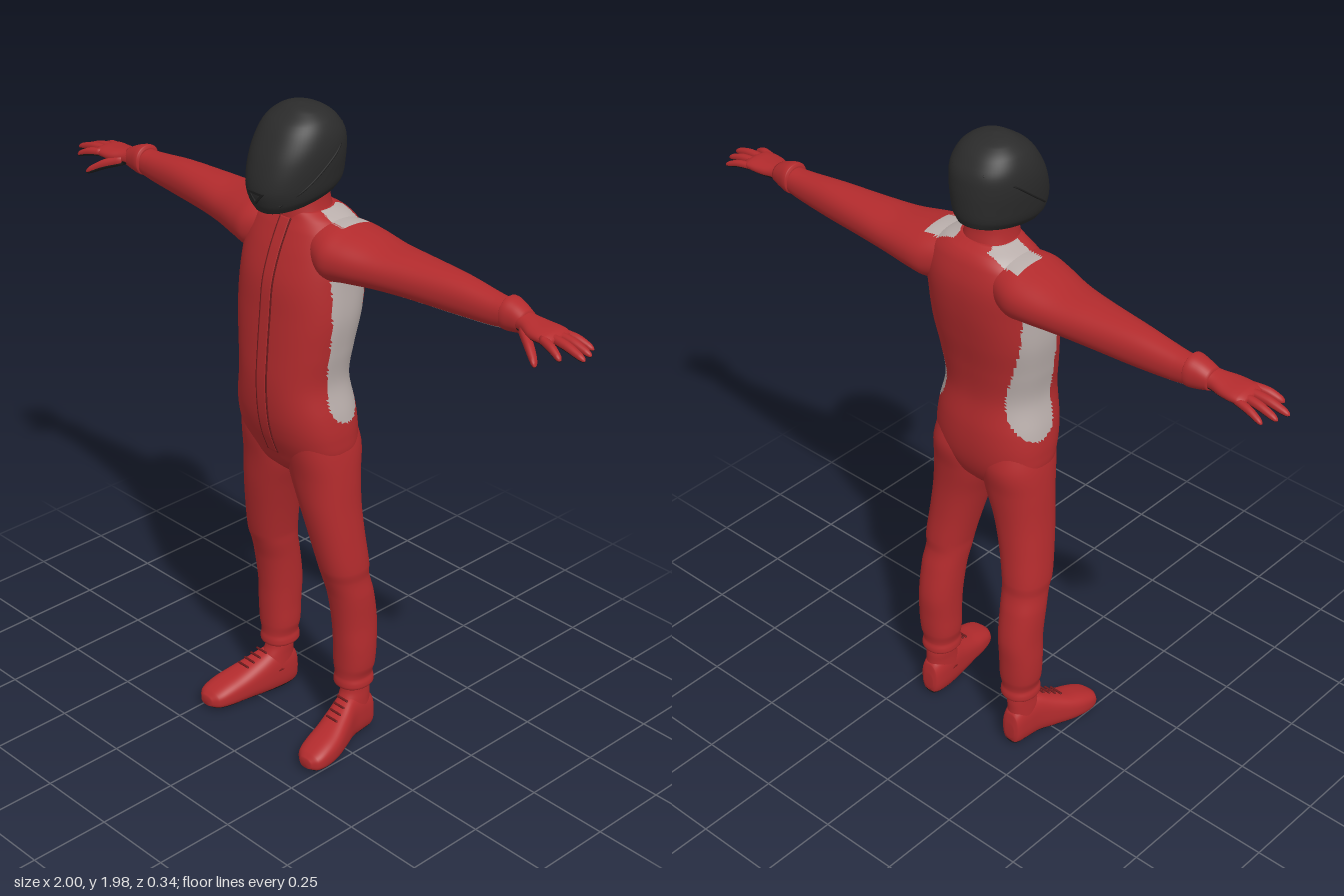
import * as THREE from 'three';

const mat = (name, color) => {
  const m = new THREE.MeshStandardMaterial({ color });
  m.name = name;
  return m;
};

// Smooth interpolation through stations [t, a0, a1, b0, b1]
function section(st, i, f) {
  const p = st[i], q = st[i + 1], h = q[0] - p[0];
  const slope = (j, k) => {
    const l = st[Math.max(j - 1, 0)], r = st[Math.min(j + 1, st.length - 1)];
    return (r[k] - l[k]) / (r[0] - l[0]);
  };
  const f2 = f * f, f3 = f2 * f;
  return p.map((v, k) => k === 0 ? v + h * f
    : v * (2 * f3 - 3 * f2 + 1) + q[k] * (3 * f2 - 2 * f3)
    + h * (slope(i, k) * (f3 - 2 * f2 + f) + slope(i + 1, k) * (f3 - f2)));
}

function sectionAt(st, t) {
  let i = 0;
  while (i < st.length - 2 && st[i + 1][0] < t) i++;
  return section(st, i, (t - st[i][0]) / (st[i + 1][0] - st[i][0]));
}

// Closed skin over superellipse sections along an axis; rule picks the material of each face
function loft(name, axis, stations, mats, { side = 1, seg = 40, sub = 5, power = 2.2, rule = () => 0, warp } = {}) {
  const st = [...stations].sort((a, b) => a[0] - b[0]);
  const place = (a, b, t) => {
    const v = axis === 'y' ? [a, t, b] : axis === 'x' ? [t, b, a] : [a, b, t];
    if (warp) warp(v);
    v[0] *= side;
    return v;
  };
  const rings = [];
  for (let i = 0; i < st.length - 1; i++)
    for (let k = 0; k < sub; k++) rings.push(section(st, i, k / sub));
  rings.push(st[st.length - 1]);
  const pos = [], faces = mats.map(() => []);
  const curve = c => Math.sign(c) * Math.abs(c) ** (2 / power);
  for (const [t, a0, a1, b0, b1] of rings)
    for (let j = 0; j < seg; j++) {
      const g = j / seg * Math.PI * 2;
      pos.push(...place((a0 + a1) / 2 + (a1 - a0) / 2 * curve(Math.cos(g)),
        (b0 + b1) / 2 + (b1 - b0) / 2 * curve(Math.sin(g)), t));
    }
  const flip = (axis !== 'z') !== (side < 0);
  const tri = (a, b, c, s) => {
    const p = [0, 1, 2].map(k => (pos[a * 3 + k] + pos[b * 3 + k] + pos[c * 3 + k]) / 3);
    p[0] *= side;
    faces[rule(p, s)].push(a, ...(flip ? [c, b] : [b, c]));
  };
  const n = rings.length;
  for (let i = 0; i < n - 1; i++)
    for (let j = 0; j < seg; j++) {
      const k = (j + 1) % seg, a = i * seg + j, b = i * seg + k, s = Math.sin((j + 0.5) / seg * Math.PI * 2);
      tri(a, b, b + seg, s);
      tri(a, b + seg, a + seg, s);
    }
  // End caps
  for (const i of [0, n - 1]) {
    const [t, a0, a1, b0, b1] = rings[i], c = pos.length / 3;
    pos.push(...place((a0 + a1) / 2, (b0 + b1) / 2, t));
    for (let j = 0; j < seg; j++) {
      const a = i * seg + j, b = i * seg + (j + 1) % seg, s = Math.sin((j + 0.5) / seg * Math.PI * 2);
      i ? tri(a, b, c, s) : tri(b, a, c, s);
    }
  }
  const geo = new THREE.BufferGeometry();
  geo.setAttribute('position', new THREE.Float32BufferAttribute(pos, 3));
  geo.setIndex(faces.flat());
  let start = 0;
  faces.forEach((f, m) => { geo.addGroup(start, f.length, m); start += f.length; });
  geo.computeVertexNormals();
  const mesh = new THREE.Mesh(geo, mats.length > 1 ? mats : mats[0]);
  mesh.name = name;
  return mesh;
}

const sym = (t, w, z0, z1) => [t, -w, w, z0, z1];

export function createModel() {
  const red = mat('suitRed', 0xb32b2d), grey = mat('panelGrey', 0xb9aeab);
  const dark = mat('helmetCharcoal', 0x2b2b2b), black = mat('rubberBlack', 0x1e1e1e), seam = mat('seamRed', 0x6a1a1c);
  const model = new THREE.Group();
  model.name = 'racingDriver';
  const add = (...m) => model.add(...m);
  const onShoulder = p => p[1] > 1.64 && Math.abs(p[0]) < 0.167 && Math.abs(p[0]) > 0.06 && p[2] > -0.118 && p[2] < -0.02;

  // Torso with side panels and shoulder patches
  const torso = [
    sym(0.89, 0.07, -0.09, 0.04), sym(0.92, 0.13, -0.115, 0.07), sym(0.97, 0.18, -0.134, 0.092),
    sym(1.03, 0.187, -0.142, 0.115), sym(1.1, 0.18, -0.14, 0.13), sym(1.2, 0.161, -0.126, 0.136),
    sym(1.3, 0.173, -0.136, 0.13), sym(1.4, 0.186, -0.155, 0.121), sym(1.5, 0.186, -0.17, 0.11),
    sym(1.58, 0.185, -0.172, 0.085), sym(1.64, 0.165, -0.158, 0.058), sym(1.67, 0.125, -0.14, 0.042),
    sym(1.69, 0.08, -0.11, 0.035)];
  add(loft('torso', 'y', torso, [red, grey], {
    seg: 96, sub: 9, power: 2.4,
    rule: p => {
      const half = 0.066 * Math.sqrt(Math.max(0, 1 - Math.max(0, (1.15 - p[1]) / 0.07) ** 2));
      const flank = p[1] > 1.08 && p[1] < 1.58 && Math.abs(p[0]) > 0.1 && Math.abs(p[2] + 0.035) < half;
      return flank || onShoulder(p) ? 1 : 0;
    }
  }));

  // Front zip flap with its two seams
  const strip = (name, x0, x1, lift, m) => add(loft(name, 'y', torso.slice(2, 12).map(s => [s[0], x0, x1, s[4] - 0.012, s[4] + lift]),
    [m], { seg: 20, sub: 9, power: 8 }));
  strip('zipFlap', -0.01, 0.026, 0.004, red);
  strip('zipSeam', -0.0135, -0.0095, 0.003, seam);
  strip('zipSeam', 0.0255, 0.0295, 0.003, seam);

  // Collar
  add(loft('collar', 'y', [sym(1.66, 0.085, -0.115, 0.045), sym(1.69, 0.075, -0.108, 0.042),
    sym(1.72, 0.07, -0.102, 0.038), sym(1.77, 0.068, -0.1, 0.036)], [red]));

  // Helmet, its lower rim sloping down to the chin
  const helmet = [
    sym(1.725, 0.08, -0.138, 0.125), sym(1.75, 0.098, -0.146, 0.139), sym(1.79, 0.108, -0.149, 0.147),
    sym(1.85, 0.115, -0.148, 0.13), sym(1.9, 0.111, -0.14, 0.102), sym(1.94, 0.094, -0.115, 0.07),
    sym(1.965, 0.066, -0.083, 0.035), sym(1.977, 0.036, -0.05, 0.012), sym(1.982, 0.004, -0.022, -0.014)];
  const slope = v => { v[1] -= 0.17 * v[2] * Math.max(0, 1 - (v[1] - 1.725) / 0.2); };
  add(loft('helmet', 'y', helmet, [dark], { seg: 64, sub: 6, warp: slope }));
  const onHelmet = (z, y, side) => {
    const [, , w, z0, z1] = sectionAt(helmet, y);
    const k = Math.min(1, Math.abs((z - (z0 + z1) / 2) / ((z1 - z0) / 2)));
    const v = [side * w * (1 - k ** 2.2) ** (1 / 2.2), y, z];
    slope(v);
    return new THREE.Vector3(...v);
  };

  // Chin vent
  const triangle = (P, r) => new P([[-r, r * 0.5], [0, -r * 0.6], [r, r * 0.5]].map(([x, y]) => new THREE.Vector2(x, y)));
  const ventShape = triangle(THREE.Shape, 0.032);
  ventShape.holes.push(triangle(THREE.Path, 0.018));
  const vent = new THREE.Mesh(new THREE.ExtrudeGeometry(ventShape, { depth: 0.01, bevelEnabled: false }), black);
  vent.name = 'chinVent';
  vent.position.set(0, 1.752, 0.138);
  add(vent);

  for (const side of [1, -1]) {
    const tag = side > 0 ? 'left' : 'right';
    const part = (name, axis, st, mats, o = {}) => add(loft(tag + name, axis, st, mats, { side, ...o }));

    // Visor edge running from the back of the crown to the chin
    const edge = [[-0.125, 1.91], [-0.06, 1.87], [0, 1.825], [0.06, 1.785], [0.115, 1.75]].map(([z, y]) => onHelmet(z, y, side));
    const visor = new THREE.Mesh(new THREE.TubeGeometry(new THREE.CatmullRomCurve3(edge), 30, 0.0028, 6), black);
    visor.name = tag + 'VisorEdge';
    add(visor);

    // Sleeve with the pale underside
    part('Sleeve', 'x', [
      [0.08, -0.14, 0.04, 1.53, 1.672], [0.15, -0.165, 0.065, 1.508, 1.67], [0.2, -0.168, 0.058, 1.515, 1.662],
      [0.3, -0.156, 0.028, 1.524, 1.648], [0.4, -0.145, 0.005, 1.528, 1.645], [0.55, -0.13, -0.02, 1.532, 1.64],
      [0.68, -0.116, -0.036, 1.541, 1.627], [0.73, -0.112, -0.04, 1.55, 1.625]], [red, grey],
    { seg: 64, sub: 8, rule: (p, s) => s < -0.77 || onShoulder(p) ? 1 : 0 });

    // Glove: cuff, palm, fingers and thumb with dark grip side
    const grip = { rule: (p, s) => s < -0.25 ? 1 : 0 };
    part('GloveCuff', 'x', [[0.712, -0.11, -0.04, 1.555, 1.628], [0.718, -0.119, -0.032, 1.546, 1.638],
      [0.75, -0.113, -0.035, 1.549, 1.631], [0.785, -0.103, -0.04, 1.558, 1.615]], [red]);
    part('Palm', 'x', [[0.76, -0.104, -0.04, 1.557, 1.618], [0.79, -0.102, -0.034, 1.562, 1.612],
      [0.83, -0.11, -0.018, 1.562, 1.607], [0.88, -0.113, -0.015, 1.567, 1.602], [0.902, -0.104, -0.022, 1.575, 1.592]], [red, black], grip);
    const finger = (name, from, to, r) => part(name, 'x', [[0, 0.95], [0.5, 1], [0.85, 0.8], [0.96, 0.5], [1, 0.1]].map(([f, k]) => {
      const [x, y, z] = from.map((v, i) => v + (to[i] - v) * f);
      const bend = 0.006 * Math.sin(f * Math.PI);
      return [x, z - r * k, z + r * k, y + bend - r * k, y + bend + r * k];
    }), [red, black], { ...grip, seg: 16, sub: 4 });
    finger('IndexFinger', [0.87, 1.585, -0.027], [0.955, 1.562, -0.004], 0.0125);
    finger('MiddleFinger', [0.87, 1.586, -0.052], [1, 1.564, -0.044], 0.0125);
    finger('RingFinger', [0.87, 1.585, -0.077], [0.99, 1.562, -0.08], 0.012);
    finger('LittleFinger', [0.87, 1.582, -0.1], [0.968, 1.56, -0.115], 0.011);
    finger('Thumb', [0.79, 1.578, -0.045], [0.892, 1.53, 0.016], 0.016);

    // Trouser leg gathered at the hem
    part('TrouserLeg', 'y', [
      [1.05, 0.01, 0.175, -0.12, 0.095], [0.98, -0.004, 0.189, -0.135, 0.088], [0.9, -0.002, 0.197, -0.124, 0.074],
      [0.8, 0.032, 0.203, -0.116, 0.062], [0.7, 0.06, 0.212, -0.118, 0.045], [0.6, 0.082, 0.22, -0.126, 0.025],
      [0.56, 0.086, 0.217, -0.127, 0.012], [0.5, 0.092, 0.222, -0.141, -0.005], [0.4, 0.098, 0.222, -0.156, -0.02],
      [0.32, 0.101, 0.225, -0.153, -0.025], [0.25, 0.102, 0.222, -0.149, -0.028], [0.215, 0.109, 0.213, -0.144, -0.03],
      [0.195, 0.106, 0.217, -0.148, -0.027], [0.18, 0.108, 0.215, -0.146, -0.029], [0.173, 0.122, 0.202, -0.135, -0.04]],
    [red], { seg: 48, sub: 6 });

    // Boot with dark sole and laces
    part('BootShaft', 'y', [[0.08, 0.128, 0.208, -0.139, -0.01], [0.13, 0.13, 0.205, -0.137, -0.028],
      [0.16, 0.13, 0.202, -0.137, -0.042], [0.2, 0.134, 0.2, -0.132, -0.045]], [red]);
    part('Boot', 'z', [
      [-0.146, 0.15, 0.185, 0.03, 0.08], [-0.139, 0.137, 0.198, 0.006, 0.12], [-0.1, 0.128, 0.207, 0, 0.145],
      [-0.05, 0.13, 0.215, 0, 0.148], [0, 0.138, 0.236, 0, 0.124], [0.06, 0.15, 0.259, 0, 0.097],
      [0.11, 0.16, 0.267, 0, 0.08], [0.15, 0.175, 0.262, 0.006, 0.062], [0.168, 0.198, 0.242, 0.016, 0.046]],
    [red, black], { seg: 48, power: 2.6, rule: p => p[1] < 0.016 ? 1 : 0 });
    for (let i = 0; i < 4; i++) {
      const lace = new THREE.Mesh(new THREE.CapsuleGeometry(0.0035, 0.04, 3, 8), seam);
      lace.name = tag + 'Lace';
      lace.rotation.z = Math.PI / 2;
      lace.position.set(side * (0.178 + i * 0.006), 0.148 - i * 0.0115, -0.025 + i * 0.02);
      add(lace);
    }
  }
  return model;
}
